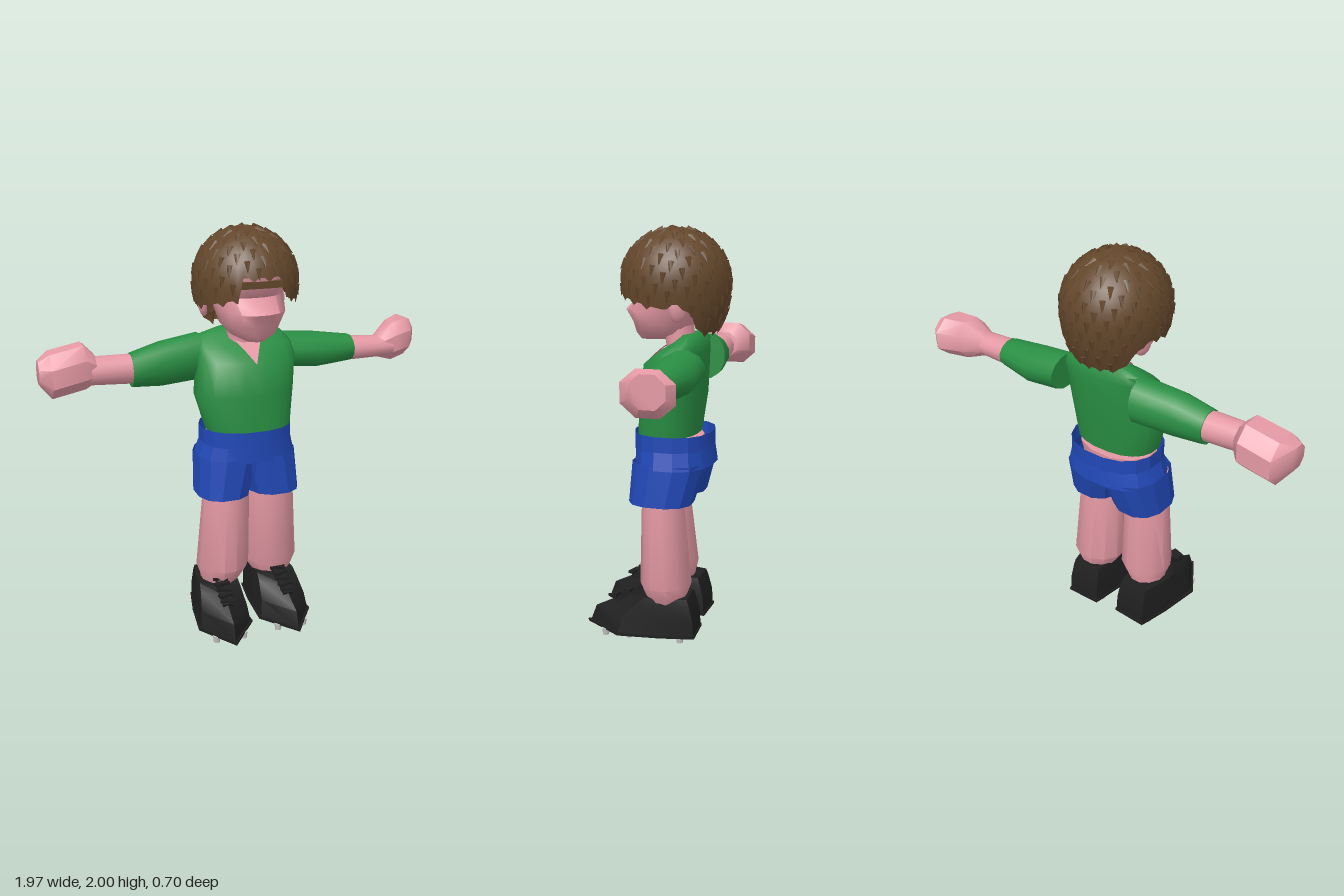
import * as THREE from 'three';
import { mergeGeometries, toCreasedNormals } from 'three/addons/utils/BufferGeometryUtils.js';

const mat = (name, color, side = THREE.FrontSide) => {
  const m = new THREE.MeshStandardMaterial({ color, side });
  m.name = name;
  return m;
};

// Oval cross-section reaching the given limits; n is a multiple of 4, p > 2 makes it boxier
function oval([t, u0, u1, v0, v1], axis, n, p) {
  const pts = [], fit = Math.cos(Math.PI / n) ** (2 / p);
  for (let i = 0; i < n; i++) {
    const a = ((i + 0.5) / n) * Math.PI * 2, c = Math.cos(a), s = Math.sin(a);
    const u = (u0 + u1) / 2 + (u1 - u0) / 2 * Math.sign(c) * Math.abs(c) ** (2 / p) / fit;
    const v = (v0 + v1) / 2 + (v1 - v0) / 2 * Math.sign(s) * Math.abs(s) ** (2 / p) / fit;
    pts.push(axis === 'y' ? [u, t, v] : [t, v, u]);
  }
  return pts;
}

// Skin a surface over rings of points, with optional end caps
function loft(rings, { caps = true, crease = 0.7 } = {}) {
  const n = rings[0].length, pos = rings.flat(2), idx = [];
  for (let j = 0; j < rings.length - 1; j++) {
    for (let i = 0; i < n; i++) {
      const a = j * n + i, b = j * n + (i + 1) % n;
      idx.push(a, a + n, b + n, a, b + n, b);
    }
  }
  if (caps) {
    const top = (rings.length - 1) * n;
    for (let i = 1; i < n - 1; i++) idx.push(0, i, i + 1, top, top + i + 1, top + i);
  }
  const g = new THREE.BufferGeometry();
  g.setAttribute('position', new THREE.Float32BufferAttribute(pos, 3));
  g.setIndex(idx);
  return toCreasedNormals(g, crease);
}

const body = (axis, sections, n = 12, p = 2.1, opt) => loft(sections.map(s => oval(s, axis, n, p)), opt);

// Hair surface: angle a runs from +x towards +z
const HAIR = { x: 0.01, y: 1.74, z: -0.075 };
function hairPoint(a, y) {
  const d = y - HAIR.y, k = Math.sqrt(Math.max(0, 1 - (d / (d > 0 ? 0.255 : 0.38)) ** 2));
  return [HAIR.x + Math.cos(a) * 0.252 * k, y, HAIR.z + Math.sin(a) * 0.265 * k];
}
// Hairline: high fringe, lower sides, notch at the ears, long nape
function hairline(a) {
  const f = Math.acos(Math.sin(a));
  if (f < 0.48) return 1.79;
  if (f < 1.55) return 1.69 - (f - 0.48) * 0.055;
  if (f < 1.95) return 1.65;
  return Math.max(1.515, 1.65 - (f - 1.95) * 0.3);
}

export function createModel() {
  const model = new THREE.Group();
  const skin = mat('skin', 0xe499a4, THREE.DoubleSide);
  const green = mat('shirt green', 0x298e43);
  const blue = mat('shorts blue', 0x2148b6, THREE.DoubleSide);
  const brown = mat('hair brown', 0x64472b, THREE.DoubleSide);
  const black = mat('shoe black', 0x1f1f1f);
  const metal = mat('stud grey', 0xc4c4c4);
  const add = (name, geo, material, parent = model) => {
    const m = new THREE.Mesh(geo, material);
    m.name = name;
    parent.add(m);
    return m;
  };

  // Head, neck and ears
  add('head', body('y', [
    [1.47, -0.03, 0.07, -0.04, 0.09], [1.5, -0.09, 0.13, -0.12, 0.11],
    [1.55, -0.13, 0.16, -0.17, 0.125], [1.61, -0.15, 0.18, -0.2, 0.16],
    [1.68, -0.17, 0.19, -0.22, 0.085], [1.75, -0.18, 0.2, -0.24, 0.145],
    [1.83, -0.17, 0.19, -0.23, 0.145]], 16, 2, { crease: 1.2 }), skin);
  add('neck', body('y', [[1.38, -0.07, 0.1, -0.18, -0.05], [1.55, -0.07, 0.1, -0.16, -0.02]]), skin);
  for (const s of [-1, 1]) {
    const ear = add('ear', new THREE.SphereGeometry(1, 10, 8), skin);
    ear.scale.set(0.022, 0.062, 0.042);
    ear.position.set(0.01 + s * 0.195, 1.625, -0.14);
    ear.rotation.set(0, s * 0.4, s * -0.15);
  }

  // Hair cap with a jagged edge
  const rings = [], N = 64, M = 12;
  for (let j = M; j >= 0; j--) {
    const ring = [];
    for (let i = 0; i < N; i++) {
      const a = (i / N) * Math.PI * 2, edge = hairline(a) - (i % 3 === 0 ? 0.02 : 0);
      ring.push(hairPoint(a, 1.995 - (1.995 - edge) * (1 - Math.cos(j / M * Math.PI / 2))));
    }
    rings.push(ring);
  }
  add('hairCap', loft(rings, { caps: false, crease: 1.2 }), brown);

  // Short tufts standing slightly off the hair
  const tufts = [], up = new THREE.Vector3(0, 1, 0);
  for (let i = 0; i < 190; i++) {
    const a = i * 2.39996, y = 1.985 - 0.47 * (i / 190);
    if (y < hairline(a) + 0.005) continue;
    const p = new THREE.Vector3(...hairPoint(a, y));
    const q = new THREE.Vector3(...hairPoint(a, y - 0.015));
    const out = new THREE.Vector3(Math.cos(a), (y - HAIR.y) * 4, Math.sin(a)).normalize();
    const dir = q.sub(p).normalize().addScaledVector(out, 0.35).normalize();
    const g = new THREE.ConeGeometry(0.02, 0.055, 5);
    g.applyQuaternion(new THREE.Quaternion().setFromUnitVectors(up, dir));
    p.addScaledVector(out, -0.004);
    g.translate(p.x, p.y, p.z);
    tufts.push(g);
  }
  add('hairTufts', mergeGeometries(tufts), brown);
  add('brow', new THREE.BoxGeometry(0.24, 0.032, 0.09), brown).position.set(0.01, 1.75, 0.107);

  // Shirt and the open neckline
  add('shirtBody', body('y', [
    [1.02, -0.2, 0.23, -0.2, 0.09], [1.2, -0.25, 0.25, -0.22, 0.08],
    [1.36, -0.23, 0.265, -0.23, 0.055], [1.42, -0.22, 0.26, -0.23, -0.02],
    [1.47, -0.2, 0.22, -0.225, -0.1], [1.5, -0.1, 0.12, -0.2, -0.13]], 20, 2.3, { crease: 1.1 }), green);
  const vee = new THREE.BufferGeometry();
  vee.setAttribute('position', new THREE.Float32BufferAttribute([
    0.02, 1.355, 0.066, 0.06, 1.42, -0.008, -0.025, 1.42, -0.008,
    0.1, 1.475, -0.088, -0.07, 1.475, -0.088], 3));
  vee.setIndex([0, 1, 2, 2, 1, 3, 2, 3, 4]);
  vee.computeVertexNormals();
  add('neckline', vee, skin);

  // Arms, which differ slightly from side to side
  add('rightSleeve', body('x', [[-0.55, -0.215, -0.06, 1.25, 1.41],
    [-0.4, -0.24, -0.06, 1.24, 1.45], [-0.2, -0.27, -0.08, 1.25, 1.475]], 12, 2), green);
  add('rightForearm', body('x', [[-0.78, -0.2, -0.07, 1.28, 1.41], [-0.5, -0.21, -0.065, 1.265, 1.405]], 12, 2), skin);
  add('rightHand', body('x', [[-0.985, -0.19, -0.09, 1.3, 1.41], [-0.93, -0.28, -0.05, 1.23, 1.44],
    [-0.77, -0.28, -0.06, 1.26, 1.47], [-0.72, -0.22, -0.08, 1.29, 1.42]], 8), skin);
  add('leftSleeve', body('x', [[0.24, -0.28, -0.07, 1.275, 1.445],
    [0.42, -0.28, -0.07, 1.255, 1.43], [0.61, -0.24, -0.085, 1.275, 1.405]], 12, 1.9), green);
  add('leftForearm', body('x', [[0.56, -0.235, -0.09, 1.275, 1.4], [0.84, -0.22, -0.09, 1.28, 1.38]], 12, 2), skin);
  add('leftHand', body('x', [[0.76, -0.22, -0.11, 1.28, 1.38], [0.85, -0.28, -0.09, 1.255, 1.45],
    [0.94, -0.34, -0.11, 1.27, 1.465], [0.98, -0.31, -0.16, 1.31, 1.45]], 8), skin);

  // Shorts: waistband, hips, two flared legs and the gusset between them
  const open = { caps: false, crease: 0.4 };
  add('pelvis', body('y', [[0.9, -0.18, 0.18, -0.2, 0.06], [1.0, -0.19, 0.21, -0.21, 0.08]]), skin);
  add('waistband', body('y', [[0.95, -0.22, 0.235, -0.265, 0.11], [1.03, -0.22, 0.235, -0.265, 0.11]], 16, 2.3, open), blue);
  add('shortsHips', body('y', [[0.87, -0.25, 0.255, -0.275, 0.108], [0.955, -0.22, 0.235, -0.265, 0.107]], 16, 2.3, open), blue);
  for (const s of [-1, 1]) {
    const span = (a, b) => s > 0 ? [a, b] : [-b, -a];
    add('shortsLeg', body('y', [[0.69, ...span(0.0, 0.262), -0.195, 0.11],
      [0.89, ...span(-0.06, 0.25), -0.25, 0.1]], 12, 2.4, open), blue);
  }
  add('gusset', body('y', [[0.72, -0.05, 0.05, -0.13, 0.06], [0.92, -0.08, 0.08, -0.24, 0.09]]), blue);

  // Legs
  add('rightLeg', body('y', [[0.18, -0.24, -0.09, -0.13, 0.05], [0.24, -0.245, -0.04, -0.14, 0.08],
    [0.3, -0.265, -0.005, -0.155, 0.11], [0.69, -0.235, -0.005, -0.11, 0.105], [0.85, -0.23, -0.01, -0.11, 0.095]], 12, 1.85), skin);
  add('leftLeg', body('y', [[0.18, 0.06, 0.23, -0.16, 0.02], [0.22, 0.04, 0.25, -0.17, 0.03],
    [0.28, 0.005, 0.275, -0.19, 0.055], [0.69, 0.008, 0.25, -0.145, 0.05], [0.85, 0.01, 0.24, -0.14, 0.05]], 12, 1.85), skin);

  // Studded shoes with laces
  const outline = (y, heel, side, wide, toe, rear, back) => [
    [heel, y, -0.05], [wide, y, side], [0, y, toe], [-wide, y, side],
    [-heel, y, -0.05], [-back, y, rear], [back, y, rear]];
  for (const [name, x, z, turn] of [['rightShoe', -0.172, 0, -0.05], ['leftShoe', 0.14, -0.015, 0.03]]) {
    const shoe = new THREE.Group();
    shoe.name = name;
    shoe.position.set(x, 0, z);
    shoe.rotation.y = turn;
    model.add(shoe);
    add('upper', loft([outline(0.04, 0.115, 0.16, 0.13, 0.34, -0.21, 0.085),
      outline(0.12, 0.11, 0.14, 0.118, 0.31, -0.205, 0.085),
      outline(0.195, 0.105, 0.07, 0.105, 0.16, -0.185, 0.08),
      outline(0.225, 0.1, 0.03, 0.1, 0.05, -0.175, 0.075)], { crease: 0.6 }), black, shoe);
    add('sole', loft([outline(0.03, 0.12, 0.16, 0.14, 0.355, -0.215, 0.09),
      outline(0.043, 0.12, 0.16, 0.14, 0.355, -0.215, 0.09)], { crease: 0.3 }), black, shoe);
    for (const sz of [0.24, 0.12, -0.14]) for (const sx of [-0.07, 0.07])
      add('stud', new THREE.CylinderGeometry(0.02, 0.016, 0.035, 8), metal, shoe).position.set(sx, 0.0175, sz);
    for (let i = 0; i < 5; i++) {
      const lace = add('lace', new THREE.BoxGeometry(0.075, 0.014, 0.03), black, shoe);
      lace.position.set(0, 0.195 + i * 0.0145, 0.2 - i * 0.034);
      lace.rotation.y = i % 2 ? 0.25 : -0.25;
    }
    const tongue = add('tongue', new THREE.BoxGeometry(0.05, 0.03, 0.18), black, shoe);
    tongue.position.set(0, 0.2, 0.12);
    tongue.rotation.x = 0.4;
  }
  return model;
}
